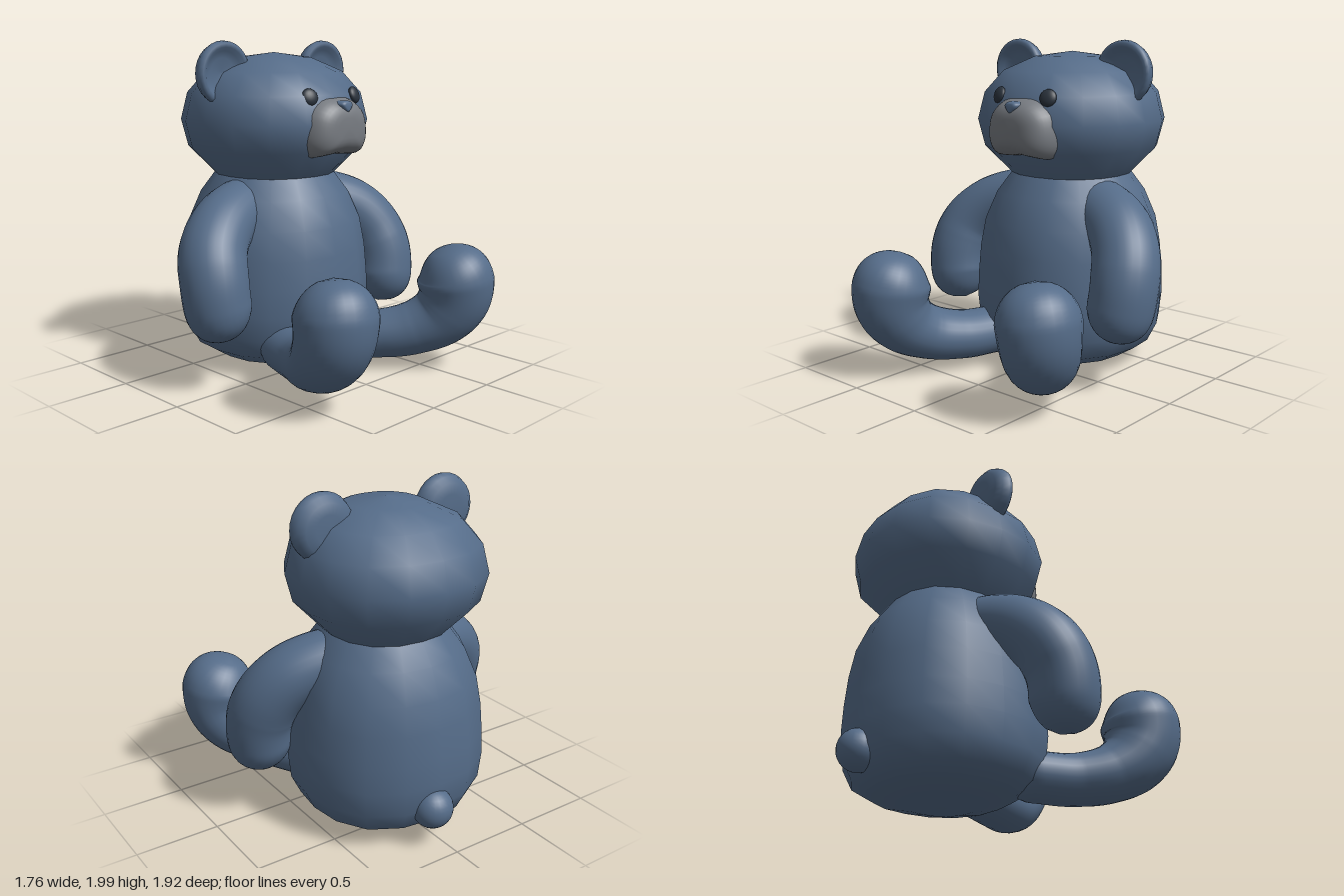
import * as THREE from 'three';
import { mergeVertices } from 'three/addons/utils/BufferGeometryUtils.js';

const fur = new THREE.MeshStandardMaterial({ color: 0x556c89 });
const snout = new THREE.MeshStandardMaterial({ color: 0x777b81 });
const dark = new THREE.MeshStandardMaterial({ color: 0x2a323c });

const v3 = (p) => new THREE.Vector3(...p);

function part(group, name, geometry, material, position = [0, 0, 0]) {
  const mesh = new THREE.Mesh(geometry, material);
  mesh.name = name;
  mesh.position.set(...position);
  group.add(mesh);
  return mesh;
}

function lathe(profile, segments) {
  return new THREE.LatheGeometry(profile.map(([r, y]) => new THREE.Vector2(r, y)), segments);
}

// Turned form, slightly fuller on the diagonals.
function plump(profile) {
  const geometry = lathe(profile, 16);
  const pos = geometry.attributes.position;
  for (let i = 0; i < pos.count; i++) {
    const x = pos.getX(i), z = pos.getZ(i);
    const k = 1 + 0.055 * Math.sin(2 * Math.atan2(z, x)) ** 2;
    pos.setX(i, x * k);
    pos.setZ(i, z * k);
  }
  return geometry;
}

// Stuffed limb: a tube whose rings follow a radius list and close in round ends.
// flat below 1 lowers the rings' height.
function limb(points, radii, flat) {
  const rings = 72, sides = 28;
  const curve = new THREE.CatmullRomCurve3(points.map(v3), false, 'centripetal');
  const length = curve.getLength();
  const geometry = new THREE.TubeGeometry(curve, rings, 1, sides, false);
  const pos = geometry.attributes.position;
  const p = new THREE.Vector3();
  for (let i = 0; i <= rings; i++) {
    const t = i / rings;
    const centre = curve.getPointAt(t);
    const f = t * (radii.length - 1);
    const k = Math.min(Math.floor(f), radii.length - 2);
    let r = THREE.MathUtils.lerp(radii[k], radii[k + 1], f - k);
    const toEnd = Math.min(t, 1 - t) * length;
    if (toEnd < r) r *= Math.sqrt(Math.max(0, 1 - (1 - toEnd / r) ** 2));
    for (let j = 0; j <= sides; j++) {
      const n = i * (sides + 1) + j;
      p.fromBufferAttribute(pos, n).sub(centre).multiplyScalar(r);
      p.y *= flat;
      p.add(centre);
      pos.setXYZ(n, p.x, p.y, p.z);
    }
  }
  geometry.deleteAttribute('uv');
  geometry.deleteAttribute('normal');
  const merged = mergeVertices(geometry, 1e-5);
  merged.computeVertexNormals();
  return merged;
}

// Padded shape: a closed outline (anticlockwise) that shrinks as it bulges to +z.
function dome(outline, depth, power) {
  const sides = 40, rings = 12;
  const curve = new THREE.CatmullRomCurve3(outline.map(([x, y]) => v3([x, y, 0])), true);
  const edge = curve.getPoints(sides).slice(0, sides);
  const positions = [], index = [];
  for (let i = 0; i < rings; i++) {
    const a = (i / rings) * Math.PI / 2;
    const s = Math.cos(a) ** power;
    for (const e of edge) positions.push(e.x * s, e.y * s, depth * Math.sin(a));
  }
  positions.push(0, 0, depth);
  for (let i = 0; i < rings; i++) {
    for (let j = 0; j < sides; j++) {
      const a = i * sides + j, b = i * sides + (j + 1) % sides;
      if (i === rings - 1) index.push(a, b, rings * sides);
      else index.push(a, b, b + sides, a, b + sides, a + sides);
    }
  }
  const geometry = new THREE.BufferGeometry();
  geometry.setAttribute('position', new THREE.Float32BufferAttribute(positions, 3));
  geometry.setIndex(index);
  geometry.computeVertexNormals();
  return geometry;
}

export function createModel() {
  const bear = new THREE.Group();
  bear.name = 'teddyBear';

  // Torso and head, meeting at the neck
  part(bear, 'body', plump([
    [0, 0.01], [0.2, 0.022], [0.38, 0.065], [0.49, 0.135], [0.545, 0.25], [0.56, 0.4],
    [0.555, 0.55], [0.54, 0.73], [0.51, 0.9], [0.44, 1.07], [0.355, 1.19],
  ]), fur, [0.03, 0, -0.32]);
  part(bear, 'head', plump([
    [0.355, 1.19], [0.51, 1.355], [0.55, 1.52], [0.51, 1.685], [0.4, 1.815], [0.215, 1.9], [0, 1.93],
  ]), fur, [0.03, 0, -0.32]);

  // Ears: round back, dished front
  const ear = lathe([
    [0, -0.057], [0.08, -0.056], [0.14, -0.048], [0.175, -0.02], [0.19, 0.018], [0.187, 0.042],
    [0.172, 0.054], [0.152, 0.05], [0.13, 0.032], [0.09, 0.014], [0, 0.004],
  ], 28).rotateX(Math.PI / 2);
  part(bear, 'rightEar', ear, fur, [-0.385, 1.81, -0.325]);
  part(bear, 'leftEar', ear, fur, [0.432, 1.81, -0.325]);

  // Face
  part(bear, 'muzzle', dome([
    [0, -0.16], [0.1, -0.168], [0.19, -0.165], [0.236, -0.1], [0.242, 0], [0.212, 0.1],
    [0.12, 0.172], [0, 0.186], [-0.12, 0.172], [-0.212, 0.1], [-0.242, 0], [-0.236, -0.1],
    [-0.19, -0.165], [-0.1, -0.168],
  ], 0.19, 0.55), snout, [0.06, 1.495, 0.105]);
  part(bear, 'nose', dome([
    [0, -0.044], [0.035, -0.02], [0.056, 0.015], [0.038, 0.034], [0, 0.038],
    [-0.038, 0.034], [-0.056, 0.015], [-0.035, -0.02],
  ], 0.08, 0.4), fur, [0.06, 1.617, 0.21]).rotation.x = -0.1;
  for (const side of [-1, 1]) {
    const eye = part(bear, side < 0 ? 'rightEye' : 'leftEye',
      new THREE.SphereGeometry(0.051, 24, 16).scale(1, 1, 0.5), dark, [0.055 + side * 0.187, 1.68, 0.16]);
    eye.rotation.set(-0.35, side * 0.3, 0);
  }

  // Arms
  const armRadii = [0.18, 0.185, 0.19, 0.195, 0.2, 0.195, 0.185];
  part(bear, 'leftArm', limb([
    [0.05, 1.0, -0.3], [0.22, 1.005, -0.26], [0.38, 0.99, -0.2], [0.54, 0.92, -0.13], [0.64, 0.8, -0.06],
    [0.68, 0.65, 0], [0.67, 0.48, 0.03], [0.62, 0.31, 0.045],
  ], armRadii, 0.97), fur);
  part(bear, 'rightArm', limb([
    [0, 1.0, -0.34], [-0.16, 1.005, -0.3], [-0.34, 0.99, -0.25], [-0.52, 0.92, -0.18], [-0.64, 0.8, -0.11],
    [-0.68, 0.65, -0.05], [-0.67, 0.48, -0.025], [-0.61, 0.32, -0.01],
  ], armRadii, 0.97), fur);

  // Legs with upturned feet
  const legRadii = [0.165, 0.165, 0.17, 0.185, 0.215, 0.235, 0.235];
  part(bear, 'leftLeg', limb([
    [0.15, 0.2, -0.05], [0.23, 0.2, 0.12], [0.32, 0.205, 0.29], [0.45, 0.245, 0.46],
    [0.565, 0.33, 0.59], [0.615, 0.45, 0.66], [0.61, 0.59, 0.67], [0.55, 0.77, 0.63],
  ], legRadii, 0.88), fur);
  part(bear, 'rightLeg', limb([
    [-0.2, 0.2, -0.05], [-0.26, 0.2, 0.12], [-0.32, 0.205, 0.31], [-0.41, 0.245, 0.5],
    [-0.47, 0.33, 0.64], [-0.495, 0.45, 0.715], [-0.49, 0.59, 0.72], [-0.46, 0.77, 0.67],
  ], legRadii, 0.88), fur);

  // Tail
  part(bear, 'tail', new THREE.SphereGeometry(0.12, 24, 16), fur, [0.06, 0.245, -0.84]);

  return bear;
}
